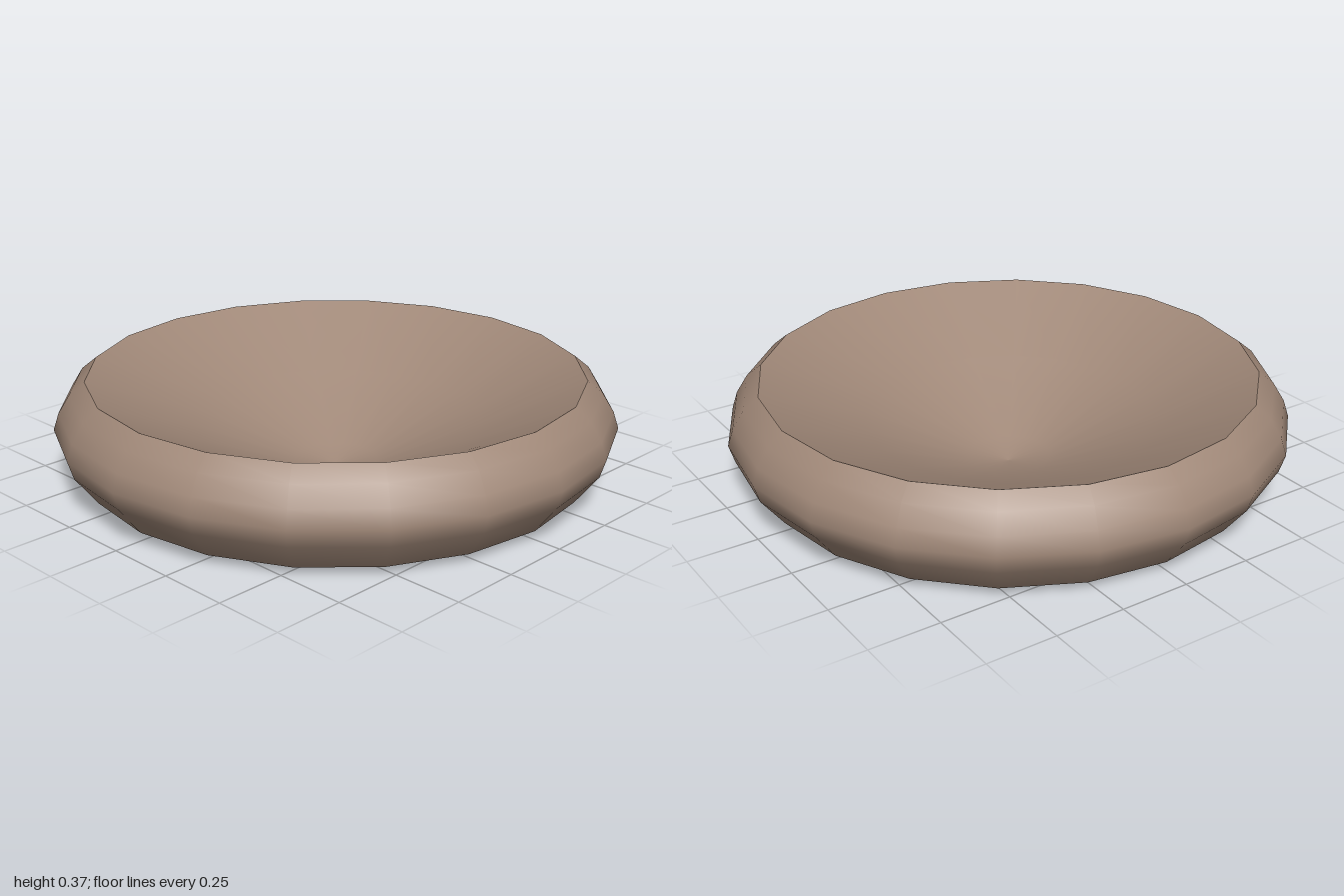
import * as THREE from 'three';

const SIDES = 20;

export function createModel() {
  const group = new THREE.Group();
  const material = new THREE.MeshStandardMaterial({ color: 0xa08878, side: THREE.DoubleSide });

  // Turns a profile of [radius, height] points around the y axis
  const turned = (name, profile) => {
    const points = profile.map(([r, y]) => new THREE.Vector2(r, y));
    const mesh = new THREE.Mesh(new THREE.LatheGeometry(points, SIDES), material);
    mesh.name = name;
    group.add(mesh);
  };

  // Bulging outer wall, open at the bottom
  turned('outerWall', [
    [0.9, 0.03], [0.98, 0.135], [1, 0.2], [0.98, 0.26], [0.94, 0.325], [0.885, 0.37],
  ]);

  // Shallow conical bowl hanging from the rim, flatter towards its tip
  turned('innerBowl', [
    [0.885, 0.37], [0.52, 0.19], [0.15, 0.027], [0, 0],
  ]);

  return group;
}
